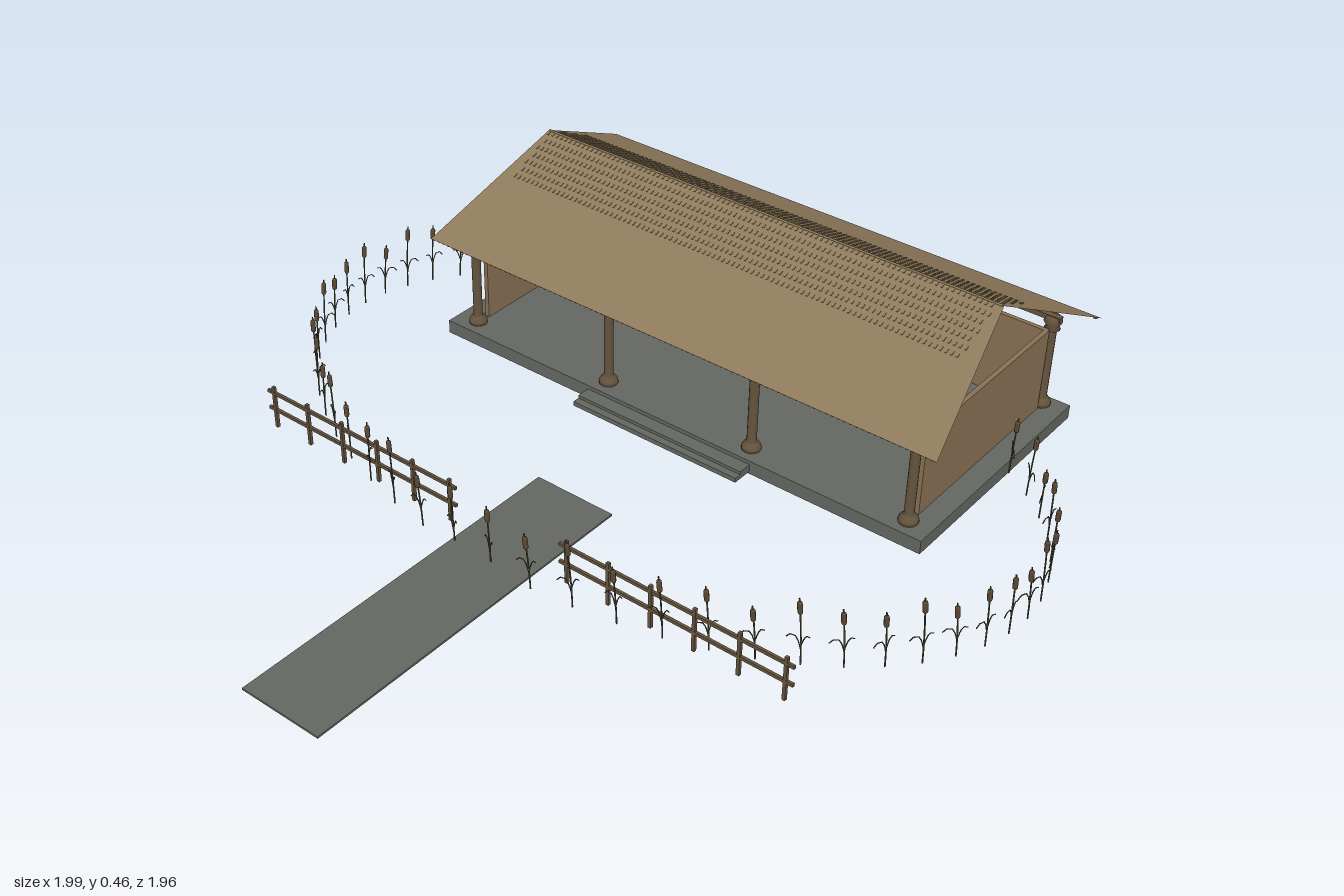
import * as THREE from 'three';
import { mergeGeometries } from 'three/addons/utils/BufferGeometryUtils.js';

export function createModel() {
  const model = new THREE.Group();
  const mat = (name, color, side = THREE.FrontSide) => {
    const m = new THREE.MeshStandardMaterial({ color, side });
    m.name = name;
    return m;
  };
  const roofMat = mat('thatch', 0x8e7a5b, THREE.DoubleSide);
  const wallMat = mat('wall timber', 0x897154);
  const woodMat = mat('post timber', 0x65543e);
  const stoneMat = mat('stone', 0x646761);
  const stemMat = mat('reed stem', 0x55513a, THREE.DoubleSide);
  const headMat = mat('reed head', 0x5a4833);

  const add = (name, geo, material) => {
    const mesh = new THREE.Mesh(geo, material);
    mesh.name = name;
    model.add(mesh);
  };
  // box given by its limits on each axis
  const box = (x0, x1, y0, y1, z0, z1) =>
    new THREE.BoxGeometry(x1 - x0, y1 - y0, z1 - z0)
      .translate((x0 + x1) / 2, (y0 + y1) / 2, (z0 + z1) / 2);

  // stone platform, steps and path
  add('platform', box(-0.718, 0.695, 0, 0.036, -0.945, -0.272), stoneMat);
  add('upperStep', box(-0.255, 0.232, 0.012, 0.026, -0.272, -0.236), stoneMat);
  add('lowerStep', box(-0.255, 0.232, 0.006, 0.018, -0.272, -0.217), stoneMat);
  add('path', box(-0.12, 0.098, 0.015, 0.02, 0.068, 0.98), stoneMat);

  // walls: back and two sides, front open
  add('backWall', box(-0.655, 0.635, 0.036, 0.258, -0.89, -0.878), wallMat);
  add('leftWall', box(0.628, 0.64, 0.036, 0.258, -0.885, -0.35), wallMat);
  add('rightWall', box(-0.662, -0.65, 0.036, 0.258, -0.885, -0.35), wallMat);

  // columns with stepped bases and flared capitals, joined by beams
  const profile = [[0, 0.036], [0.024, 0.036], [0.024, 0.046], [0.017, 0.056], [0.012, 0.062],
    [0.012, 0.245], [0.02, 0.252], [0.014, 0.26], [0.023, 0.272], [0.016, 0.286], [0, 0.286]]
    .map(([r, y]) => new THREE.Vector2(r, y));
  const columns = [], beams = [];
  for (const z of [-0.315, -0.908]) {
    for (const x of [-0.655, -0.225, 0.205, 0.635]) {
      columns.push(new THREE.LatheGeometry(profile, 12).translate(x, 0, z));
    }
    beams.push(box(-0.675, 0.655, 0.275, 0.288, z - 0.008, z + 0.008));
  }
  add('columns', mergeGeometries(columns), woodMat);
  add('beams', mergeGeometries(beams), woodMat);
  add('frieze', box(-0.655, 0.635, 0.275, 0.318, -0.358, -0.337), wallMat);

  // roof: two thin slopes, ridge shorter than the eaves
  const ridgeY = 0.46, ridgeZ = -0.615, eaveY = 0.278, run = 0.366;
  const slope = s => {
    const g = new THREE.BufferGeometry();
    const z = ridgeZ + s * run;
    g.setAttribute('position', new THREE.Float32BufferAttribute([
      -0.744, eaveY, z, 0.722, eaveY, z, 0.648, ridgeY, ridgeZ, -0.667, ridgeY, ridgeZ], 3));
    g.setIndex(s > 0 ? [0, 1, 2, 0, 2, 3] : [0, 2, 1, 0, 3, 2]);
    g.computeVertexNormals();
    return g;
  };
  add('frontRoof', slope(1), roofMat);
  add('backRoof', slope(-1), roofMat);

  // thatch tufts in rows near the ridge, plus the eave ends
  const pitch = Math.atan2(ridgeY - eaveY, run);
  const tufts = [], eaveEnds = [];
  for (const s of [1, -1]) {
    for (let row = 0; row < 7; row++) {
      const t = 0.02 + row * 0.06;
      for (let i = 0; i < 92; i++) {
        const x = -0.66 + (i + (row % 2) * 0.5) * 0.0141;
        tufts.push(new THREE.BoxGeometry(0.0045, 0.004, 0.011).rotateX(s * pitch)
          .translate(x, ridgeY - t * (ridgeY - eaveY), ridgeZ + s * t * run));
      }
    }
    for (let i = 0; i < 92; i++) {
      eaveEnds.push(new THREE.BoxGeometry(0.006, 0.005, 0.014).rotateX(s * pitch)
        .translate(-0.738 + i * 0.0159, eaveY + 0.001, ridgeZ + s * (run - 0.009)));
    }
  }
  add('thatchTufts', mergeGeometries(tufts), roofMat);
  add('eaveEnds', mergeGeometries(eaveEnds), roofMat);
  add('ridgePole', new THREE.CylinderGeometry(0.003, 0.003, 1.31, 8)
    .rotateZ(Math.PI / 2).translate(-0.01, ridgeY, ridgeZ), roofMat);

  // fences on both sides of the path
  const fence = (name, x0, x1) => {
    const parts = [0.05, 0.098].map(y => box(x0, x1, y - 0.004, y + 0.004, 0.291, 0.298));
    for (let i = 0; i < 6; i++) {
      const x = x0 + 0.02 + i * (x1 - x0 - 0.04) / 5;
      parts.push(box(x - 0.004, x + 0.004, 0, 0.115, 0.2905, 0.2985));
    }
    add(name, mergeGeometries(parts), woodMat);
  };
  fence('rightFence', -0.772, -0.165);
  fence('leftFence', 0.137, 0.75);

  // reeds along an open oval, each with a stem, two leaves and a head
  const stems = [], heads = [];
  const count = 43;
  for (let i = 0; i < count; i++) {
    const a = (-45 + i * 270 / (count - 1)) * Math.PI / 180;
    const h = 0.132 + 0.018 * (1 + Math.sin(i * 2.4));
    const place = g => g.rotateY(-a - Math.PI / 2 + 0.35 * Math.sin(i * 1.7))
      .translate(0.985 * Math.cos(a), 0, -0.235 + 0.6 * Math.sin(a));
    const tube = (radius, ...points) => place(new THREE.TubeGeometry(
      new THREE.QuadraticBezierCurve3(...points.map(p => new THREE.Vector3(...p))), 5, radius, 5));
    stems.push(
      tube(0.0019, [0, 0, 0], [0.002, h * 0.5, 0], [0.012, h + 0.012, 0]),
      tube(0.0014, [0.002, 0.04, 0], [0.014, 0.1, 0], [0.034, 0.066, 0.006]),
      tube(0.0014, [0.002, 0.05, 0], [-0.006, 0.09, 0], [-0.016, 0.08, -0.004]));
    heads.push(place(new THREE.CapsuleGeometry(0.006, 0.022, 3, 8)
      .rotateZ(-0.1).translate(0.0095, h - 0.012, 0)));
  }
  add('reedStems', mergeGeometries(stems), stemMat);
  add('reedHeads', mergeGeometries(heads), headMat);

  return model;
}
